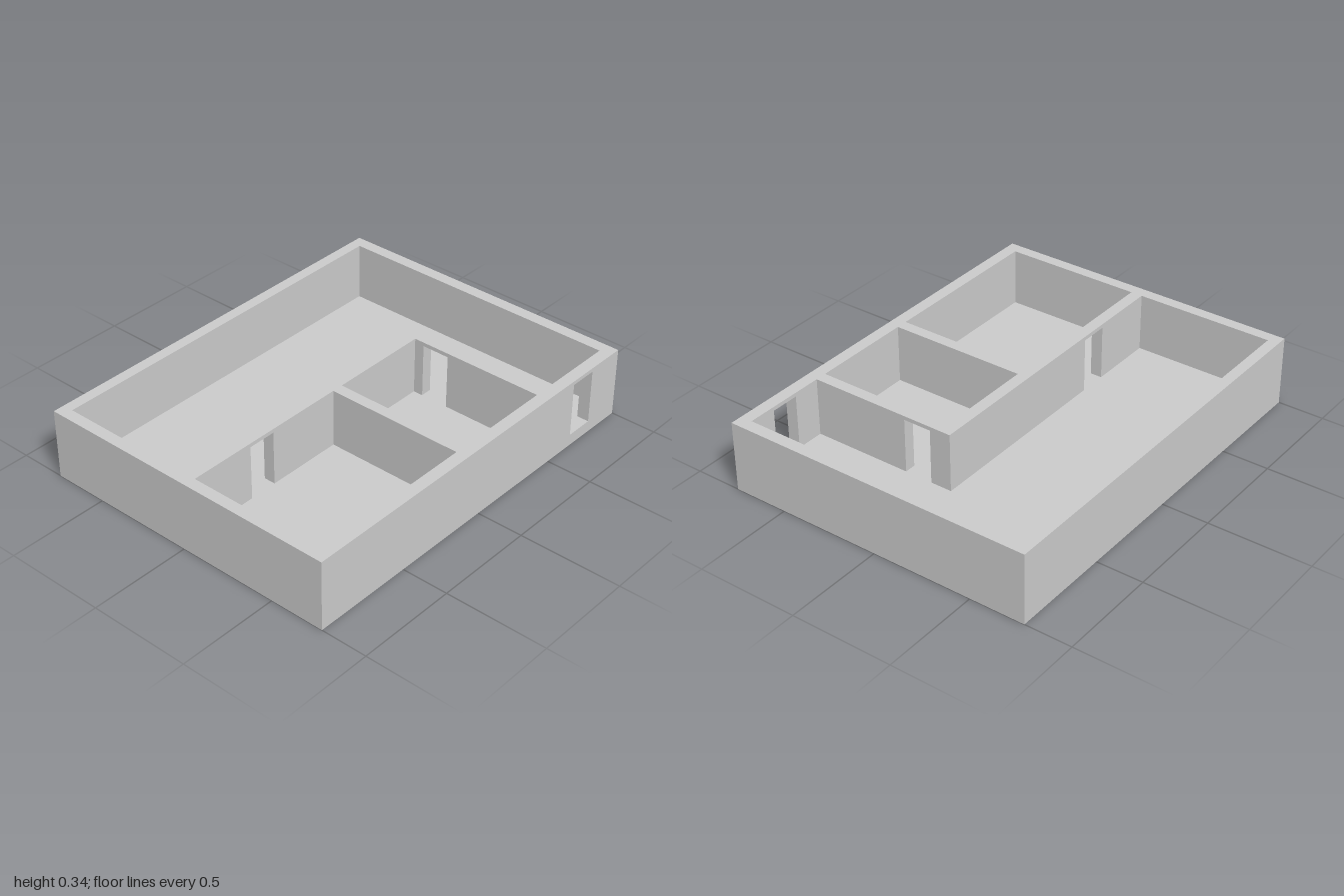
import * as THREE from 'three';

const FLOOR = 0.057, TOP = 0.345, DOOR_TOP = 0.326;
const material = new THREE.MeshStandardMaterial({ color: 0xcccccc, flatShading: true });

// Wall elevation with an optional door notch [start, end], extruded to its thickness.
function wallGeometry(length, thickness, door) {
  const s = new THREE.Shape();
  s.moveTo(0, FLOOR);
  if (door) {
    s.lineTo(door[0], FLOOR);
    s.lineTo(door[0], DOOR_TOP);
    s.lineTo(door[1], DOOR_TOP);
    s.lineTo(door[1], FLOOR);
  }
  s.lineTo(length, FLOOR);
  s.lineTo(length, TOP);
  s.lineTo(0, TOP);
  s.closePath();
  return new THREE.ExtrudeGeometry(s, { depth: thickness, bevelEnabled: false });
}

export function createModel() {
  const model = new THREE.Group();
  model.name = 'floorPlan';

  const add = (name, geometry) => {
    const mesh = new THREE.Mesh(geometry, material);
    mesh.name = name;
    model.add(mesh);
  };
  // Wall running along x; the door is given in x.
  const wallX = (name, x0, x1, z0, z1, door) => add(name,
    wallGeometry(x1 - x0, z1 - z0, door && door.map(d => d - x0)).translate(x0, 0, z0));
  // Wall running along z; the door is given in z.
  const wallZ = (name, x0, x1, z0, z1, door) => add(name,
    wallGeometry(z1 - z0, x1 - x0, door && [z1 - door[1], z1 - door[0]])
      .rotateY(Math.PI / 2).translate(x0, 0, z1));

  // Floor slab under the whole plan
  add('floorSlab', new THREE.BoxGeometry(2, FLOOR, 1.542).translate(0, FLOOR / 2, 0));

  // Outer walls
  wallX('frontWall', -1, 1, 0.711, 0.771, [0.663, 0.803]);
  wallX('backWall', -1, 1, -0.771, -0.717);
  wallZ('rightWall', -1, -0.943, -0.717, 0.711);
  wallZ('leftWall', 0.94, 1, -0.717, 0.711);

  // Inner partitions
  wallX('middleWall', -0.943, 0.525, -0.032, 0.026, [-0.615, -0.475]);
  wallZ('roomDivider', -0.092, -0.036, 0.026, 0.711);
  wallZ('hallWall', 0.469, 0.525, 0.026, 0.711, [0.075, 0.215]);

  return model;
}
